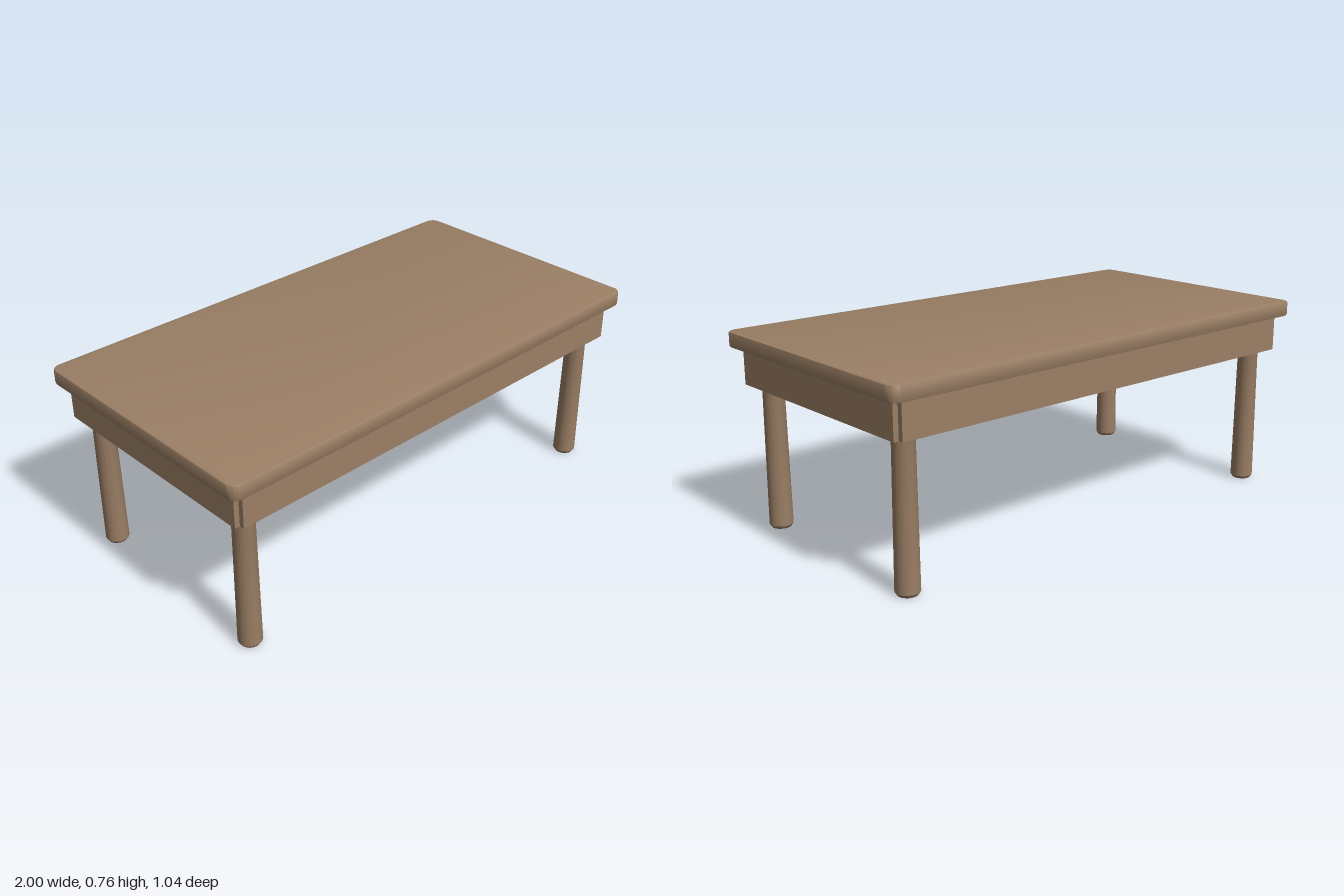
import * as THREE from 'three';
import { toCreasedNormals } from 'three/addons/utils/BufferGeometryUtils.js';

export function createModel() {
  const table = new THREE.Group();
  table.name = 'table';
  const wood = new THREE.MeshStandardMaterial({ color: 0x9b7f65 });
  wood.name = 'brown wood';

  const add = (name, geometry, x = 0, y = 0, z = 0) => {
    const mesh = new THREE.Mesh(geometry, wood);
    mesh.name = name;
    mesh.position.set(x, y, z);
    table.add(mesh);
    return mesh;
  };

  // Table top: rounded rectangle with a small bevel on both edges
  const bevel = 0.008, w = 1 - bevel, d = 0.52 - bevel, r = 0.03;
  const outline = new THREE.Shape();
  outline.absarc(w - r, d - r, r, 0, Math.PI / 2);
  outline.absarc(-w + r, d - r, r, Math.PI / 2, Math.PI);
  outline.absarc(-w + r, -d + r, r, Math.PI, Math.PI * 1.5);
  outline.absarc(w - r, -d + r, r, Math.PI * 1.5, Math.PI * 2);
  outline.closePath();
  const slab = new THREE.ExtrudeGeometry(outline, {
    depth: 0.06 - 2 * bevel, bevelSize: bevel, bevelThickness: bevel,
    bevelSegments: 2, curveSegments: 6,
  });
  slab.rotateX(-Math.PI / 2);
  add('tableTop', toCreasedNormals(slab, 0.5), 0, 0.7 + bevel, 0);

  // Apron boards, leaving a small notch at each outer corner
  const t = 0.04, apronH = 0.14, apronY = 0.63;
  for (const s of [1, -1]) {
    add(s > 0 ? 'frontApron' : 'backApron',
      new THREE.BoxGeometry(1.88, apronH, t), 0, apronY, s * (0.485 - t / 2));
    add(s > 0 ? 'leftApron' : 'rightApron',
      new THREE.BoxGeometry(t, apronH, 0.93), s * (0.96 - t / 2), apronY, 0);
  }

  // Turned legs: bevelled foot, slight taper, wide collar behind the apron
  const profile = [
    [0, 0], [0.037, 0], [0.045, 0.012], [0.04, 0.585], [0.068, 0.64], [0.068, 0.7],
  ].map(([x, y]) => new THREE.Vector2(x, y));
  const leg = toCreasedNormals(new THREE.LatheGeometry(profile, 24), 0.5);
  for (const sx of [1, -1]) {
    for (const sz of [1, -1]) {
      const name = (sz > 0 ? 'front' : 'back') + (sx > 0 ? 'Left' : 'Right') + 'Leg';
      add(name, leg, sx * 0.88, 0, sz * 0.405);
    }
  }
  return table;
}
